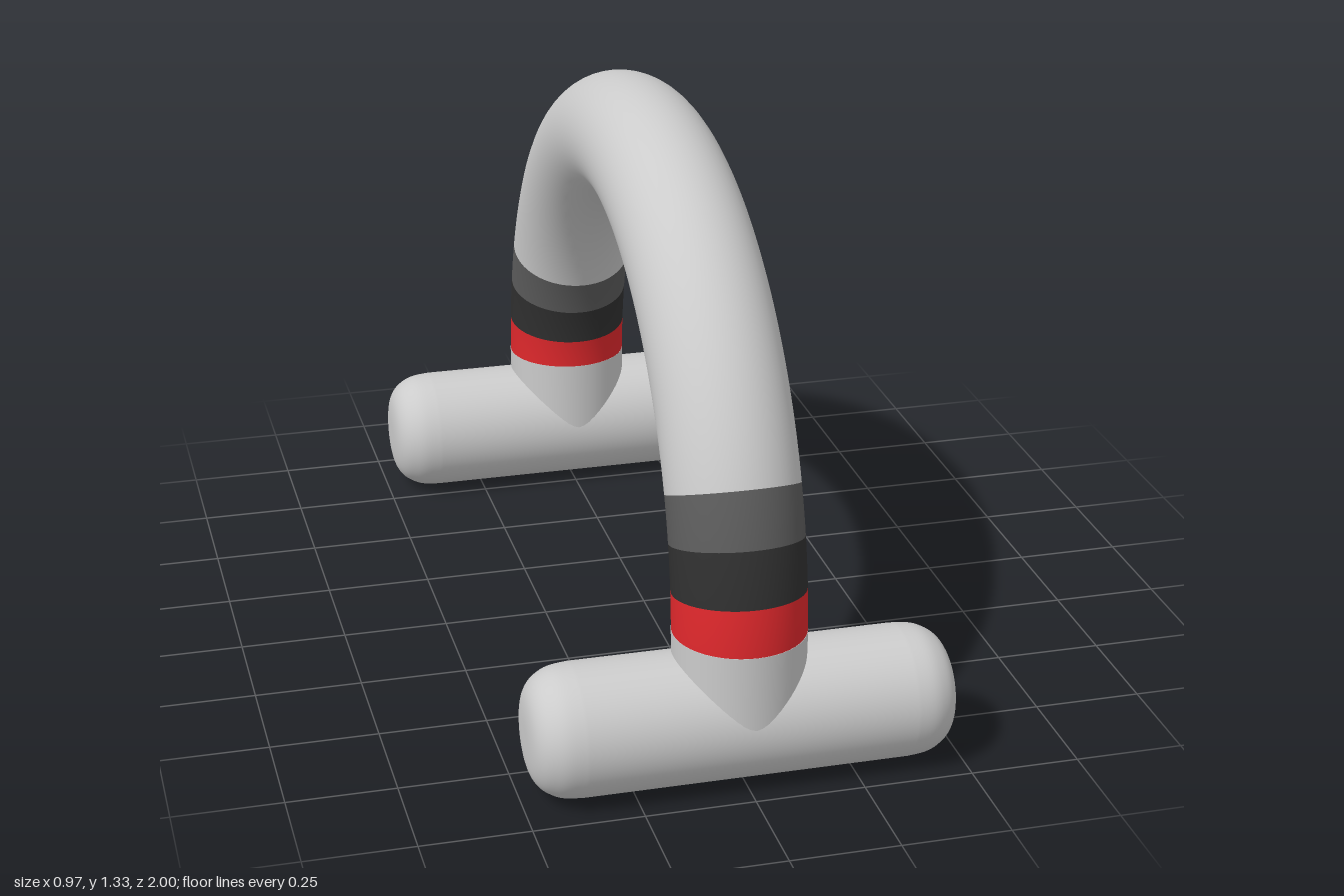
import * as THREE from 'three';

const TUBE = 0.15;      // radius of arch and foot bars
const ARCH = 0.85;      // centreline radius of the arch
const SPRING = 0.333;   // height where the arch begins

const material = (color) => new THREE.MeshStandardMaterial({ color });
const grey = material(0xcccccc);
const red = material(0xe0282c);
const dark = material(0x303030);
const midGrey = material(0x5c5c5c);

function addMesh(parent, name, geometry, mat) {
  const mesh = new THREE.Mesh(geometry, mat);
  mesh.name = name;
  parent.add(mesh);
  return mesh;
}

// Slice of the arch between two angles (degrees), measured up from +z
function archSlice(from, to) {
  const a = THREE.MathUtils.degToRad(from);
  const b = THREE.MathUtils.degToRad(to);
  const steps = Math.max(4, Math.round((to - from) / 1.5));
  return new THREE.TorusGeometry(ARCH, TUBE, 48, steps, b - a)
    .rotateZ(a)
    .rotateY(-Math.PI / 2)
    .translate(0, SPRING, 0);
}

// Round bar along x with softly rounded, slightly domed ends
function footBarGeometry() {
  const end = new THREE.SplineCurve([
    [0, 0.485], [0.05, 0.484], [0.09, 0.477], [0.118, 0.461],
    [0.136, 0.437], [0.146, 0.41], [TUBE, 0.37],
  ].map(([r, x]) => new THREE.Vector2(r, x))).getPoints(24);
  end[0].x = 0;
  const other = end.map((p) => new THREE.Vector2(p.x, -p.y));
  const profile = [...other, ...end.reverse()];
  return new THREE.LatheGeometry(profile, 64).rotateZ(-Math.PI / 2);
}

export function createModel() {
  const model = new THREE.Group();
  model.name = 'archHandle';

  addMesh(model, 'arch', archSlice(22.5, 157.5), grey);

  const bands = [
    ['redBand', 0, 7.5, red],
    ['darkBand', 7.5, 15, dark],
    ['greyBand', 15, 22.5, midGrey],
  ];
  const barGeometry = footBarGeometry();
  const stubGeometry = new THREE.CylinderGeometry(0.1505, 0.1475, 0.203, 64);

  for (const [side, sign] of [['front', 1], ['back', -1]]) {
    const foot = new THREE.Group();
    foot.name = side + 'Foot';
    model.add(foot);

    // Coloured rings at the end of the arch
    for (const [name, from, to, mat] of bands) {
      const slice = sign > 0 ? archSlice(from, to) : archSlice(180 - to, 180 - from);
      addMesh(foot, name, slice, mat);
    }

    // Collar joining the arch to its bar
    addMesh(foot, 'collar', stubGeometry, grey).position.set(0, 0.2515, sign * ARCH);
    addMesh(foot, 'footBar', barGeometry, grey).position.set(0, TUBE, sign * ARCH);
  }
  return model;
}
